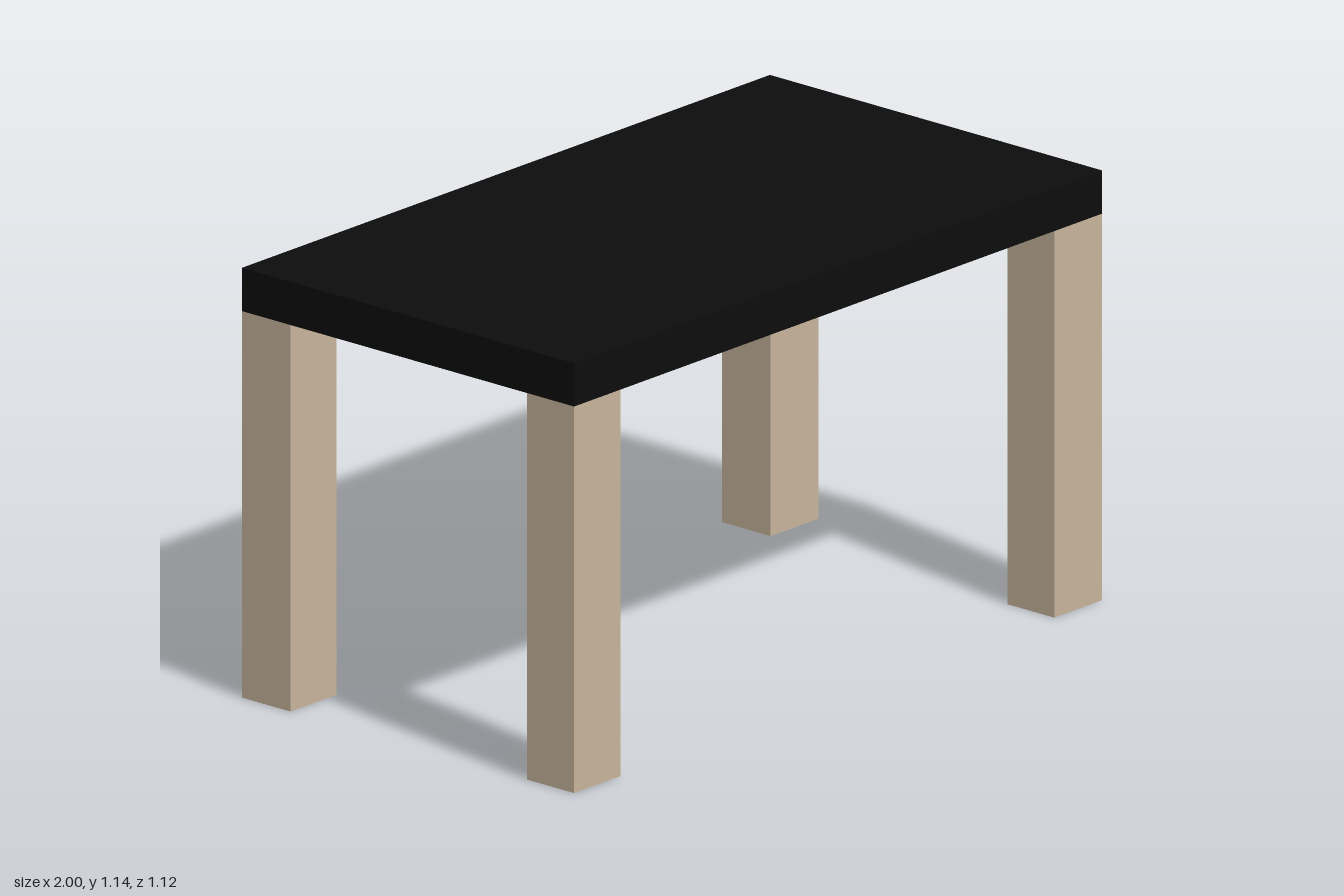
import * as THREE from 'three';

export function createModel() {
  const model = new THREE.Group();
  model.name = 'table';

  const wood = new THREE.MeshStandardMaterial({ color: 0xc8b59c });
  wood.name = 'pale wood';
  const black = new THREE.MeshStandardMaterial({ color: 0x0d0d0d });
  black.name = 'black top';

  const halfX = 1, halfZ = 0.558, legHeight = 1.027, height = 1.142;

  // Table top: black all round, bare wood underneath
  const top = new THREE.Mesh(
    new THREE.BoxGeometry(halfX * 2, height - legHeight, halfZ * 2),
    [black, black, black, wood, black, black]
  );
  top.name = 'tableTop';
  top.position.y = (height + legHeight) / 2;
  model.add(top);

  // Four square legs flush with the corners
  for (const sx of [-1, 1]) {
    for (const sz of [-1, 1]) {
      const w = sx > 0 ? 0.181 : 0.175;
      const d = sz > 0 ? 0.158 : 0.163;
      const leg = new THREE.Mesh(new THREE.BoxGeometry(w, legHeight, d), wood);
      leg.name = (sz > 0 ? 'front' : 'back') + (sx > 0 ? 'Left' : 'Right') + 'Leg';
      leg.position.set(sx * (halfX - w / 2), legHeight / 2, sz * (halfZ - d / 2));
      model.add(leg);
    }
  }

  return model;
}
